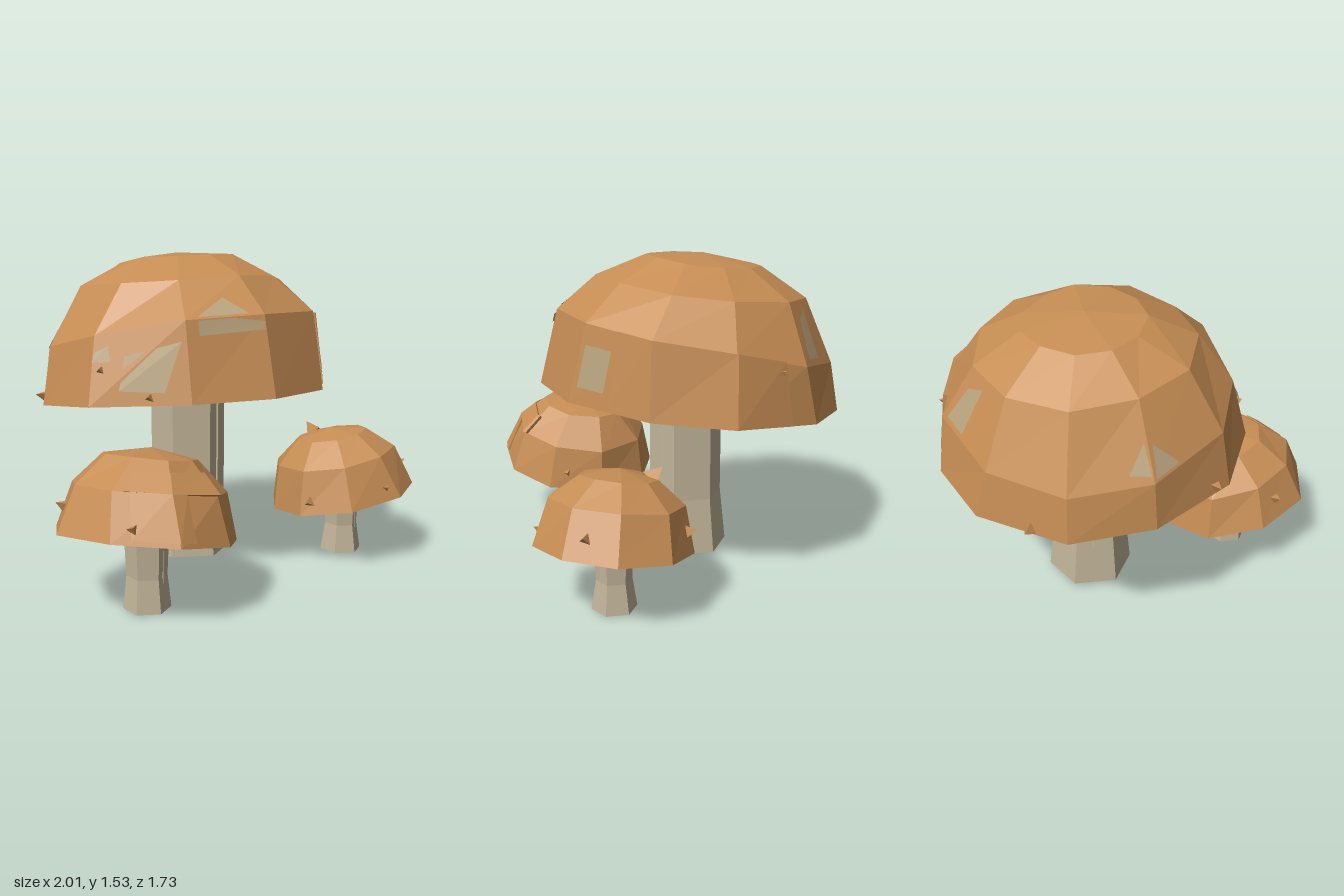
import * as THREE from 'three';

const capMat = new THREE.MeshStandardMaterial({ color: 0xc68d54, flatShading: true });
capMat.name = 'orange brown cap';
const paleMat = new THREE.MeshStandardMaterial({ color: 0xc2b599, flatShading: true, side: THREE.DoubleSide });
paleMat.name = 'pale stem';
const patchMat = new THREE.MeshStandardMaterial({ color: 0xb9a37d, flatShading: true, side: THREE.DoubleSide });
patchMat.name = 'dull tan patch';

function seeded(seed) {
  return () => (seed = (seed * 16807) % 2147483647) / 2147483647;
}

function mesh(name, geometry, material) {
  const m = new THREE.Mesh(geometry, material);
  m.name = name;
  return m;
}

// Triangles from a flat list of points
function faces(points) {
  const g = new THREE.BufferGeometry().setFromPoints(points);
  g.computeVertexNormals();
  return g;
}

// Cap: irregular rings of a dome, with a hollow pale underside.
// The first ring above the rim climbs by "rise" towards the front left.
function makeCap({ profile, sides, phase, hollow, seed, spikes, rise = 0, patches = [], plates = [] }) {
  const group = new THREE.Group();
  group.name = 'cap';
  const rnd = seeded(seed);
  const rings = profile.slice(0, -1).map(([r, h], i) =>
    Array.from({ length: sides }, (_, j) => {
      const wobble = i === 0 && j === 0 ? 1 : 1 + (rnd() - 0.5) * 0.05;
      const a = phase + ((j + (j ? (rnd() - 0.5) * 0.15 : 0)) / sides) * Math.PI * 2;
      const y = h + (rnd() - 0.5) * (i ? 0.04 : 0.02) * r + (i === 1 ? rise * Math.cos(a - 0.4) : 0);
      return new THREE.Vector3(Math.sin(a) * r * wobble, y, Math.cos(a) * r * wobble);
    }));
  const at = (i, j) => rings[i][((j % sides) + sides) % sides];
  const crown = new THREE.Vector3(0, profile.at(-1)[1], 0);
  const gill = new THREE.Vector3(0, hollow, 0);
  const dome = [], under = [];
  for (let j = 0; j < sides; j++) {
    for (let i = 0; i < rings.length - 1; i++) {
      dome.push(at(i, j), at(i, j + 1), at(i + 1, j + 1), at(i, j), at(i + 1, j + 1), at(i + 1, j));
    }
    const top = rings.length - 1;
    dome.push(at(top, j), at(top, j + 1), crown);
    under.push(at(0, j + 1), at(0, j), gill);
  }
  group.add(mesh('capDome', faces(dome), capMat), mesh('capUnderside', faces(under), paleMat));

  // Point on a facet, and its outward direction
  const point = (band, seg, u, v) => at(band, seg).clone().lerp(at(band, seg + 1), u)
    .lerp(at(band + 1, seg).clone().lerp(at(band + 1, seg + 1), u), v);
  const normal = (band, seg) => at(band, seg + 1).clone().sub(at(band, seg))
    .cross(at(band + 1, seg).clone().sub(at(band, seg))).normalize();

  // Tan patches lying on the facets
  for (const [band, seg, corners] of patches) {
    const n = normal(band, seg).multiplyScalar(0.009);
    const p = corners.map(([u, v]) => point(band, seg, u, v).add(n));
    const tris = [];
    for (let k = 1; k < p.length - 1; k++) tris.push(p[0], p[k], p[k + 1]);
    group.add(mesh('capPatch', faces(tris), patchMat));
  }

  // Small pointed bumps
  for (const [band, seg, u, v, size] of spikes) {
    const n = normal(band, seg);
    const s = mesh('capBump', new THREE.ConeGeometry(size * 0.8, size * 1.2, 3), capMat);
    s.position.copy(point(band, seg, u, v)).addScaledVector(n, size * 0.25);
    s.quaternion.setFromUnitVectors(new THREE.Vector3(0, 1, 0), n);
    group.add(s);
  }

  // Overlapping plates: raised stretches of a band, the lift changes from start to end
  for (const [band, s0, s1, v0, v1, lift0, lift1] of plates) {
    const stops = [s0];
    for (let s = Math.floor(s0) + 1; s < s1; s++) stops.push(s);
    stops.push(s1);
    const rows = stops.map((s) => {
      const seg = Math.floor(s);
      const grow = 1 + lift0 + ((s - s0) / (s1 - s0)) * (lift1 - lift0);
      const low = point(band, seg, s - seg, v0), high = point(band, seg, s - seg, v1);
      return [low, low.clone().multiplyScalar(grow), high.clone().multiplyScalar(grow), high];
    });
    const tris = [];
    const quad = (a, b, c, d) => tris.push(a, b, c, a, c, d);
    for (let k = 0; k < rows.length - 1; k++) {
      for (let e = 0; e < 3; e++) quad(rows[k][e], rows[k + 1][e], rows[k + 1][e + 1], rows[k][e + 1]);
    }
    quad(...rows[0]);
    quad(...[...rows.at(-1)].reverse());
    group.add(mesh('capPlate', faces(tris), capMat));
  }
  return group;
}

// Stem: six-sided, flared at the foot, with thin ridges up its sides
function makeStem(profile, ridges) {
  const group = new THREE.Group();
  group.name = 'stem';
  const pts = [[0, profile[0][1]], ...profile].map(([r, y]) => new THREE.Vector2(r, y));
  group.add(mesh('stemShaft', new THREE.LatheGeometry(pts, 6, 0.1), paleMat));
  const [foot, waist, top] = profile;
  for (const a of ridges) {
    const h = top[1] - foot[1] - 0.03;
    const ridge = mesh('stemRidge', new THREE.CylinderGeometry(waist[0] * 0.12, waist[0] * 0.05, h, 3), paleMat);
    ridge.position.set(Math.sin(a) * waist[0] * 0.85, foot[1] + 0.03 + h / 2, Math.cos(a) * waist[0] * 0.85);
    group.add(ridge);
  }
  return group;
}

function makeMushroom({ name, stemAt, stem, ridges, capAt, tilt, cap }) {
  const group = new THREE.Group();
  group.name = name;
  const s = makeStem(stem, ridges);
  s.position.set(stemAt[0], 0, stemAt[1]);
  const c = makeCap(cap);
  c.position.set(...capAt);
  c.rotation.set(tilt[0], 0, tilt[1]);
  group.add(s, c);
  return group;
}

export function createModel() {
  const model = new THREE.Group();
  model.name = 'mushroomCluster';

  model.add(makeMushroom({
    name: 'largeMushroom',
    stemAt: [-0.048, -0.085], stem: [[0.215, 0.02], [0.185, 0.3], [0.187, 1.1]], ridges: [0.6, 3.7],
    capAt: [-0.06, 0.83, -0.1], tilt: [-0.1, 0.0],
    cap: {
      profile: [[0.745, 0], [0.685, 0.305], [0.515, 0.54], [0.29, 0.665], [0, 0.7]],
      sides: 11, phase: 0.05, hollow: 0.28, seed: 77, rise: 0.075,
      patches: [
        [0, -2, [[0.3, 0.2], [0.75, 0.15], [0.95, 0.75], [0.35, 0.65]]],
        [0, -2, [[0.0, 0.62], [0.2, 0.6], [0.17, 0.82], [0.02, 0.75]]],
        [0, -1, [[0.15, 0.8], [0.98, 0.82], [0.98, 0.92], [0.6, 0.98], [0.15, 0.98]]],
        [1, -1, [[0.15, 0.02], [0.8, 0.02], [0.55, 0.45]]],
        [0, 1, [[0.08, 0.22], [0.42, 0.22], [0.45, 0.75], [0.08, 0.75]]],
        [1, 4, [[0.1, 0.1], [0.45, 0.1], [0.5, 0.85], [0.2, 0.7]]],
        [1, -5, [[0.72, 0.15], [0.98, 0.1], [0.95, 0.5]]],
        [1, -4, [[0.02, 0.05], [0.35, 0.05], [0.05, 0.45]]],
      ],
      spikes: [[0, 3, 0.6, 0.85, 0.05], [0, 5, 0.6, 0.1, 0.06], [0, -2, 0.1, 0.5, 0.04],
        [0, -4, 0.8, 0.15, 0.05], [0, -2, 0.6, 0.1, 0.04]],
      plates: [[0, 1.5, 3.65, 0.02, 1, 0.012, 0.03]],
    },
  }));

  model.add(makeMushroom({
    name: 'rightSmallMushroom',
    stemAt: [-0.6, 0.495], stem: [[0.106, 0], [0.09, 0.15], [0.104, 0.46]], ridges: [0.6],
    capAt: [-0.595, 0.325, 0.465], tilt: [-0.11, -0.16],
    cap: {
      profile: [[0.41, 0], [0.345, 0.205], [0.215, 0.34], [0, 0.38]],
      sides: 9, phase: -Math.PI / 2, hollow: 0.14, seed: 41,
      spikes: [[0, 1, 0.33, 0.3, 0.05], [0, 8, 0.4, 0.5, 0.05], [0, 4, 0.3, 0.4, 0.04]],
      plates: [[0, 1.3, 2.3, 0.1, 1, 0.01, 0.03], [1, 1.2, 3.1, 0, 0.6, 0.01, 0.04]],
    },
  }));

  model.add(makeMushroom({
    name: 'leftSmallMushroom',
    stemAt: [0.64, 0.315], stem: [[0.105, 0], [0.083, 0.14], [0.094, 0.42]], ridges: [0.6],
    capAt: [0.637, 0.3, 0.315], tilt: [-0.1, 0.15],
    cap: {
      profile: [[0.372, 0], [0.31, 0.205], [0.18, 0.315], [0, 0.35]],
      sides: 9, phase: Math.PI / 2, hollow: 0.13, seed: 19,
      spikes: [[0, 8, 0.37, 0.45, 0.05], [0, 6, 0.8, 0.3, 0.03], [0, 5, 0.18, 0.3, 0.05],
        [0, 1, 0.85, 0.5, 0.055], [1, 2, 0.3, 1.1, 0.065]],
    },
  }));

  return model;
}
